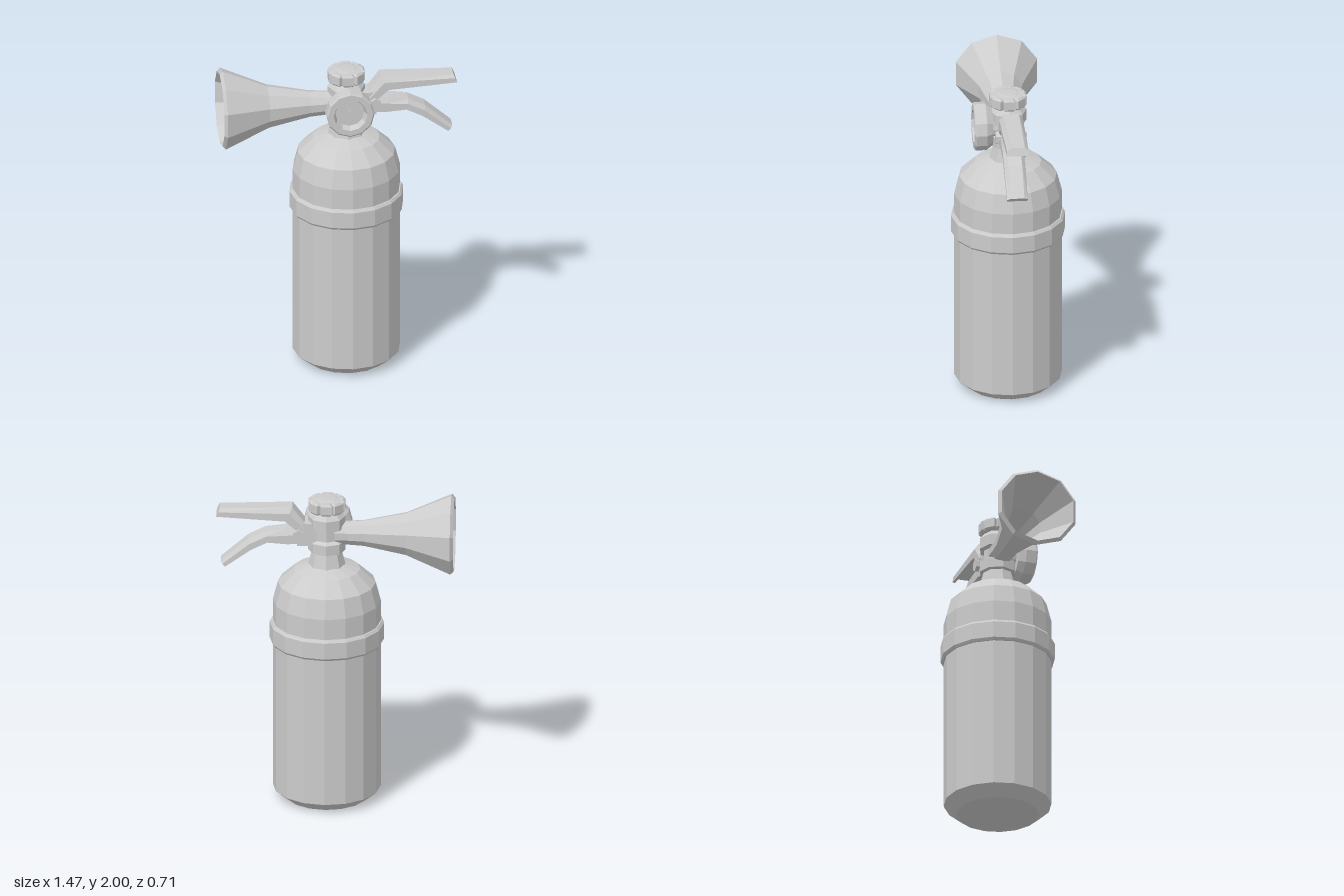
import * as THREE from 'three';

const mat = new THREE.MeshStandardMaterial({ color: 0xcccccc, flatShading: true });
const AXIS = 0.05; // x of the tank axis

function add(parent, name, geometry, x = 0, y = 0, z = 0) {
  const mesh = new THREE.Mesh(geometry, mat);
  mesh.name = name;
  mesh.position.set(x, y, z);
  parent.add(mesh);
  return mesh;
}

// Faceted turned part from [radius, height] pairs
function turned(profile, sides, start = 0) {
  return new THREE.LatheGeometry(profile.map(([r, h]) => new THREE.Vector2(r, h)), sides, start);
}

// Pressed-metal lever: bevelled on top, hollow below.
// Each station is [topX, topY, bottomX, bottomY, halfWidth].
function leverGeometry(stations) {
  const rings = stations.map(([tx, ty, bx, by, w]) => {
    const at = (t, z) => [bx + (tx - bx) * t, by + (ty - by) * t, z];
    const n = w * 0.66, i = w * 0.74;
    return [at(0, w), at(0.6, w), at(1, n), at(1, -n), at(0.6, -w), at(0, -w),
      at(0, -i), at(0.45, -i * 0.9), at(0.45, i * 0.9), at(0, i)];
  });
  const pos = [];
  const tri = (a, b, c) => pos.push(...a, ...b, ...c);
  for (let s = 0; s < rings.length - 1; s++) {
    const A = rings[s], B = rings[s + 1];
    for (let j = 0; j < A.length; j++) {
      const k = (j + 1) % A.length;
      tri(A[j], B[j], B[k]);
      tri(A[j], B[k], A[k]);
    }
  }
  // End walls
  const first = rings[0], last = rings[rings.length - 1];
  for (let j = 1; j < 5; j++) {
    tri(first[0], first[j], first[j + 1]);
    tri(last[0], last[j + 1], last[j]);
  }
  const g = new THREE.BufferGeometry();
  g.setAttribute('position', new THREE.Float32BufferAttribute(pos, 3));
  g.computeVertexNormals();
  return g;
}

// Grip knob outline with eight notches
function knobGeometry() {
  const shape = new THREE.Shape();
  const lobes = 8;
  for (let i = 0; i < lobes; i++) {
    [[-0.3, 0.104], [0.3, 0.104], [0.42, 0.084], [0.58, 0.084]].forEach(([f, r], k) => {
      const a = ((i + f) / lobes) * Math.PI * 2;
      const x = Math.cos(a) * r, y = Math.sin(a) * r;
      if (i === 0 && k === 0) shape.moveTo(x, y); else shape.lineTo(x, y);
    });
  }
  shape.closePath();
  const g = new THREE.ExtrudeGeometry(shape, {
    depth: 0.055, bevelEnabled: true, bevelThickness: 0.012, bevelSize: 0.012, bevelSegments: 1,
  });
  g.rotateX(-Math.PI / 2);
  return g;
}

export function createModel() {
  const model = new THREE.Group();
  model.name = 'fireExtinguisher';

  // Tank with chamfered foot and domed shoulder
  add(model, 'tank', turned([
    [0, 0], [0.255, 0], [0.333, 0.065], [0.333, 1.3], [0.302, 1.42],
    [0.206, 1.51], [0.1, 1.545], [0, 1.545],
  ], 16), AXIS);

  // Strap around the tank
  add(model, 'strap', turned([
    [0.328, 1.03], [0.342, 1.03], [0.353, 1.045], [0.353, 1.15], [0.34, 1.167], [0.328, 1.167],
  ], 16), AXIS);

  // Neck and valve body with two collars
  add(model, 'valve', turned([
    [0.118, 1.53], [0.092, 1.63], [0.115, 1.635], [0.115, 1.7], [0.088, 1.715],
    [0.088, 1.78], [0.115, 1.79], [0.115, 1.86], [0.085, 1.895], [0, 1.9],
  ], 8), AXIS);

  // Knob on top
  add(model, 'knob', knobGeometry(), AXIS, 1.907, 0);
  add(model, 'knobCap', turned([[0.08, 0], [0.055, 0.006], [0, 0.008]], 8), AXIS, 1.973, 0);

  // Pressure gauge facing forward
  const gauge = new THREE.Group();
  gauge.name = 'gauge';
  gauge.position.set(AXIS, 1.755, 0);
  model.add(gauge);
  add(gauge, 'gaugeCase', turned([
    [0.07, 0.05], [0.07, 0.1], [0.12, 0.1], [0.15, 0.14], [0.15, 0.205], [0.14, 0.215],
    [0.105, 0.215], [0.09, 0.17], [0, 0.17],
  ], 12)).rotation.x = Math.PI / 2;
  // Needle and its hub
  add(gauge, 'needleHub', new THREE.CylinderGeometry(0.022, 0.022, 0.012, 6), 0, 0, 0.175).rotation.x = Math.PI / 2;
  const needle = add(gauge, 'needle', new THREE.ConeGeometry(0.014, 0.07, 4), -0.018, 0.03, 0.176);
  needle.rotation.z = 0.55;
  needle.scale.z = 0.4;

  // Discharge horn pointing right, open and hollow at the mouth
  const horn = add(model, 'horn', turned([
    [0.075, 0], [0.075, 0.08], [0.082, 0.18], [0.135, 0.44], [0.254, 0.717], [0.234, 0.736],
    [0.112, 0.44], [0.058, 0.18], [0, 0.17],
  ], 10, Math.PI / 2), 0, 1.748, 0);
  horn.rotation.z = Math.PI / 2;
  horn.scale.z = 1.04;

  // Lever bracket and pivot bolt
  add(model, 'leverBracket', new THREE.BoxGeometry(0.15, 0.15, 0.13), 0.155, 1.755, 0);
  add(model, 'pivotBolt', new THREE.CylinderGeometry(0.022, 0.022, 0.17, 6), 0.22, 1.755, 0).rotation.x = Math.PI / 2;
  for (const side of [1, -1]) {
    add(model, 'boltHead', new THREE.CylinderGeometry(0.04, 0.04, 0.025, 6), 0.22, 1.755, side * 0.08).rotation.x = Math.PI / 2;
  }

  // Carrying handle above, squeeze lever below
  add(model, 'upperLever', leverGeometry([
    [0.17, 1.81, 0.215, 1.765, 0.07], [0.262, 1.93, 0.305, 1.845, 0.073], [0.71, 1.916, 0.73, 1.868, 0.067],
  ]));
  add(model, 'lowerLever', leverGeometry([
    [0.21, 1.79, 0.21, 1.695, 0.062], [0.3, 1.785, 0.29, 1.69, 0.064], [0.43, 1.765, 0.415, 1.7, 0.066],
    [0.535, 1.712, 0.515, 1.65, 0.066], [0.703, 1.565, 0.675, 1.535, 0.064],
  ]));

  return model;
}
